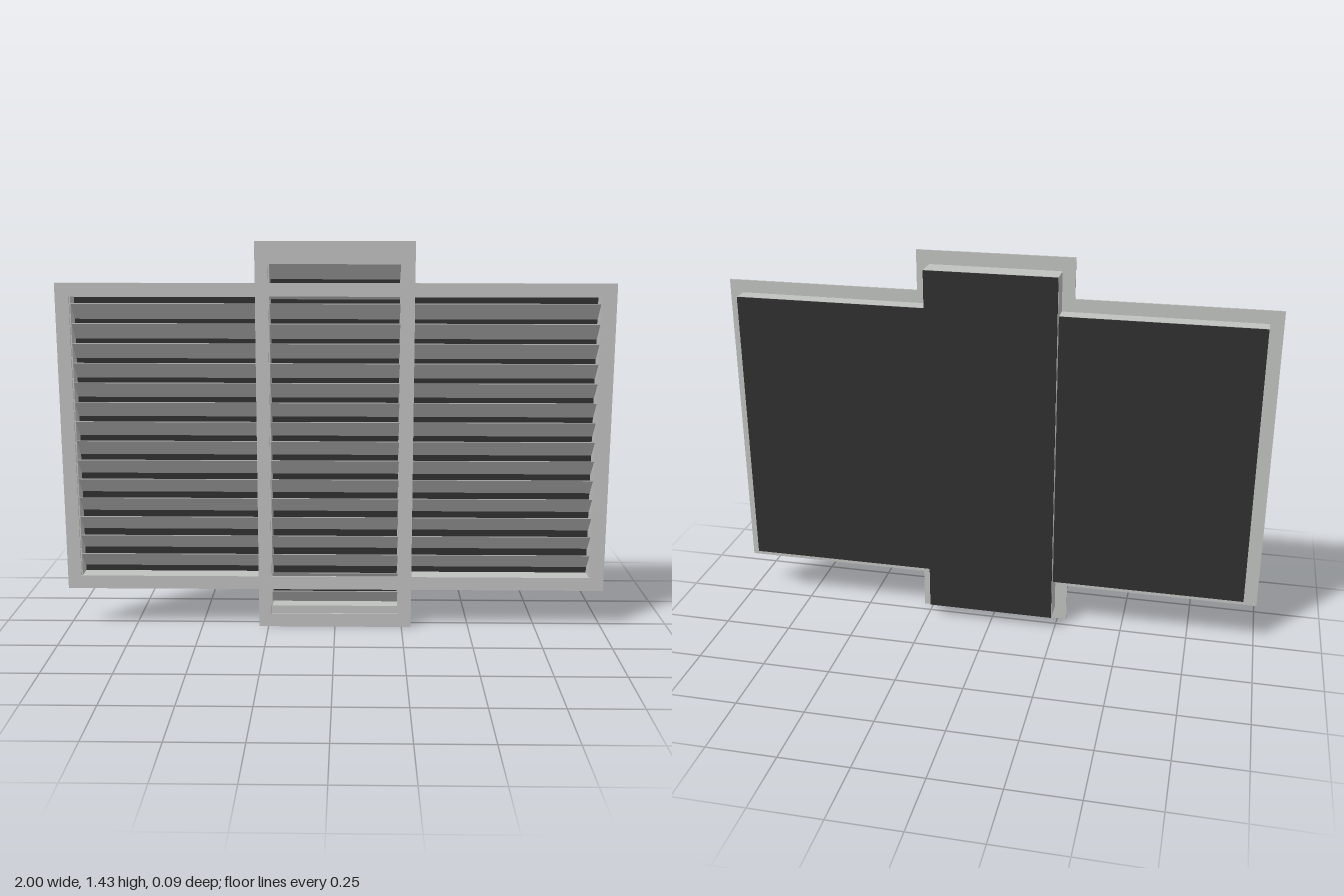
import * as THREE from 'three';

const FRONT = 0.047, PLATE = 0.006, WALL = 0.004, PITCH = 0.0718;

export function createModel() {
  const group = new THREE.Group();
  const metal = new THREE.MeshStandardMaterial({ color: 0xc0c2c0 });
  metal.name = 'light grey metal';
  const dark = new THREE.MeshStandardMaterial({ color: 0x303030 });
  dark.name = 'dark backing';

  // box given by its minimum and maximum corners
  const box = (name, mat, x0, x1, y0, y1, z0, z1) => {
    const m = new THREE.Mesh(new THREE.BoxGeometry(x1 - x0, y1 - y0, z1 - z0), mat);
    m.position.set((x0 + x1) / 2, (y0 + y1) / 2, (z0 + z1) / 2);
    m.name = name;
    group.add(m);
  };

  // cross-shaped face plate with five openings
  const outline = new THREE.Shape([
    [-0.285, 0], [0.285, 0], [0.285, 0.147], [1, 0.147], [1, 1.288], [0.285, 1.288],
    [0.285, 1.435], [-0.285, 1.435], [-0.285, 1.288], [-1, 1.288], [-1, 0.147], [-0.285, 0.147],
  ].map(([x, y]) => new THREE.Vector2(x, y)));
  const openings = [
    [-0.95, -0.285, 0.197, 1.24], [0.285, 0.95, 0.197, 1.24], [-0.238, 0.238, 0.197, 1.24],
    [-0.238, 0.238, 1.288, 1.384], [-0.238, 0.238, 0.051, 0.147],
  ];
  for (const [x0, x1, y0, y1] of openings) {
    outline.holes.push(new THREE.Path([
      new THREE.Vector2(x0, y0), new THREE.Vector2(x0, y1),
      new THREE.Vector2(x1, y1), new THREE.Vector2(x1, y0),
    ]));
  }
  const plate = new THREE.Mesh(
    new THREE.ExtrudeGeometry(outline, { depth: PLATE, bevelEnabled: false }), metal);
  plate.position.z = FRONT - PLATE;
  plate.name = 'facePlate';
  group.add(plate);

  // open duct: four walls and a dark back panel; cap is the top and bottom wall thickness
  const duct = (name, x0, x1, y0, y1, back, cap) => {
    const z1 = FRONT - PLATE, z0 = back + 0.004;
    box(name + 'WallRight', metal, x0 - 0.001, x0 + WALL, y0, y1, z0, z1);
    box(name + 'WallLeft', metal, x1 - WALL, x1 + 0.001, y0, y1, z0, z1);
    box(name + 'Floor', metal, x0, x1, y0 - 0.001, y0 + cap, z0, z1);
    box(name + 'Roof', metal, x0, x1, y1 - cap, y1 + 0.001, z0, z1);
    box(name + 'BackPanel', dark, x0, x1, y0, y1, back, z0);
  };
  duct('centreDuct', -0.238, 0.238, 0.051, 1.384, -0.047, 0.03);
  duct('rightDuct', -0.95, -0.238, 0.195, 1.24, -0.022, 0.002);
  duct('leftDuct', 0.238, 0.95, 0.195, 1.24, -0.022, 0.002);

  // slats lean forward: high front edge, low back edge
  const slats = (name, x0, x1, first, last) => {
    const h = 0.031, zf = 0.038, zb = -0.014, t = 0.003;
    const section = new THREE.Shape([
      new THREE.Vector2(-zf, h - t), new THREE.Vector2(-zf, h),
      new THREE.Vector2(-zb, -h + t), new THREE.Vector2(-zb, -h),
    ]);
    const geo = new THREE.ExtrudeGeometry(section, { depth: x1 - x0, bevelEnabled: false });
    geo.rotateY(Math.PI / 2); // section x becomes -z, depth becomes x
    for (let i = first; i <= last; i++) {
      const m = new THREE.Mesh(geo, metal);
      m.position.set(x0, 0.251 + i * PITCH, 0);
      m.name = name;
      group.add(m);
    }
  };
  slats('centreSlat', -0.234, 0.234, -2, 15);
  slats('rightSlat', -0.946, -0.24, 0, 13);
  slats('leftSlat', 0.24, 0.946, 0, 13);

  return group;
}
